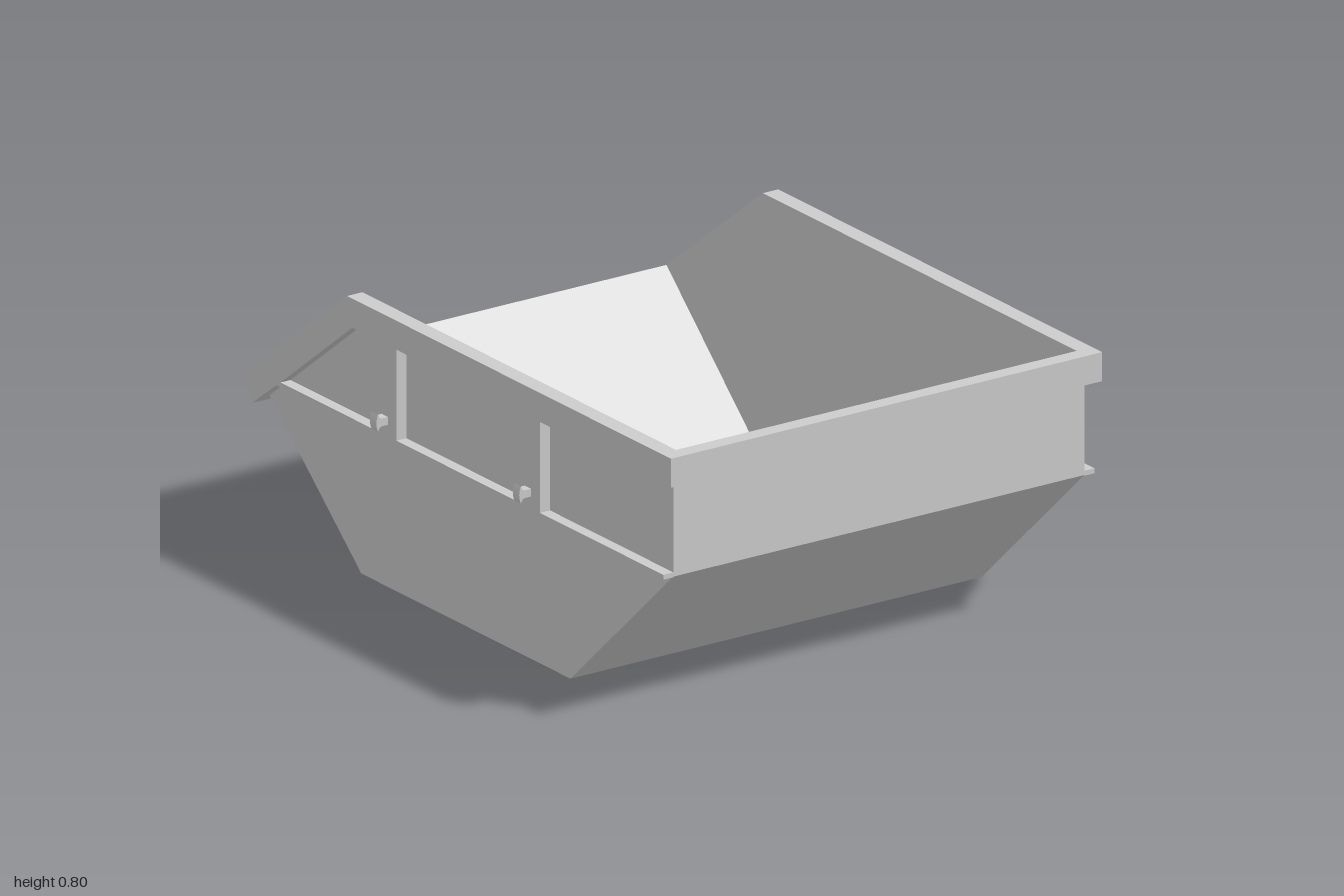
import * as THREE from 'three';

const material = new THREE.MeshStandardMaterial({ color: 0xcccccc, flatShading: true });

const INNER = 0.655; // half width inside
const SKIN = 0.672;  // half width of the side skins
const OUTER = 0.705; // half width over the rim

const path = (points, Type = THREE.Shape) => new Type(points.map(([x, y]) => new THREE.Vector2(x, y)));

// Extrudes an XY outline between two z values
function plate(name, points, z0, z1, holes = []) {
  const shape = path(points);
  shape.holes = holes.map((h) => path(h, THREE.Path));
  const geometry = new THREE.ExtrudeGeometry(shape, { depth: z1 - z0, bevelEnabled: false });
  geometry.translate(0, 0, z0);
  const mesh = new THREE.Mesh(geometry, material);
  mesh.name = name;
  return mesh;
}

// Lifting lug: a short stem with a flared, slightly domed head, pointing to +z
function liftingLug(x) {
  const shape = new THREE.Shape();
  shape.moveTo(0.7, -0.011);
  shape.lineTo(0.725, -0.011);
  shape.quadraticCurveTo(0.735, -0.013, 0.738, -0.025);
  shape.quadraticCurveTo(0.749, 0, 0.738, 0.025);
  shape.quadraticCurveTo(0.735, 0.013, 0.725, 0.011);
  shape.lineTo(0.7, 0.011);
  const geometry = new THREE.ExtrudeGeometry(shape, { depth: 0.03, bevelEnabled: false, curveSegments: 6 });
  geometry.translate(0, 0, -0.015);
  geometry.rotateY(-Math.PI / 2);
  const mesh = new THREE.Mesh(geometry, material);
  mesh.name = 'liftingLug';
  mesh.position.set(x, 0.497, 0);
  return mesh;
}

export function createModel() {
  const group = new THREE.Group();
  group.name = 'skipContainer';

  // Floor, sloped ends, end wall and end rims as one folded section
  group.add(plate('floorAndEnds', [
    [-0.49, 0], [0.485, 0], [0.965, 0.44], [0.965, 0.712], [1, 0.712], [1, 0.795], [0.953, 0.795],
    [0.953, 0.445], [0.475, 0.01], [-0.487, 0.01], [-0.96, 0.451], [-1, 0.42], [-0.953, 0.352], [-0.918, 0.378],
  ], -INNER, INNER));

  const skin = [
    [-0.49, 0], [0.485, 0], [0.965, 0.44], [0.965, 0.712], [1, 0.712], [1, 0.795],
    [-0.51, 0.795], [-1, 0.42], [-0.953, 0.352], [-0.918, 0.378],
  ];

  // Raised frame: rim, posts and lower ledge; the last bay is open at its end
  const frame = [
    [-1, 0.42], [-0.953, 0.352], [-0.84, 0.438], [0.965, 0.438], [0.965, 0.452], [0.39, 0.452],
    [0.39, 0.712], [1, 0.712], [1, 0.795], [-0.51, 0.795],
  ];
  const bays = [
    [[-0.82, 0.452], [-0.485, 0.712], [-0.38, 0.712], [-0.38, 0.452]],
    [[-0.28, 0.452], [-0.28, 0.712], [0.29, 0.712], [0.29, 0.452]],
  ];

  for (const side of [1, -1]) {
    const span = (a, b) => (side > 0 ? [a, b] : [-b, -a]);
    group.add(plate('sideSkin', skin, ...span(INNER, SKIN)));
    group.add(plate('sideFrame', frame, ...span(SKIN, OUTER), bays));

    const lugs = new THREE.Group();
    lugs.name = 'liftingLugs';
    lugs.add(liftingLug(-0.333), liftingLug(0.333));
    if (side < 0) lugs.rotation.y = Math.PI;
    group.add(lugs);
  }
  return group;
}
